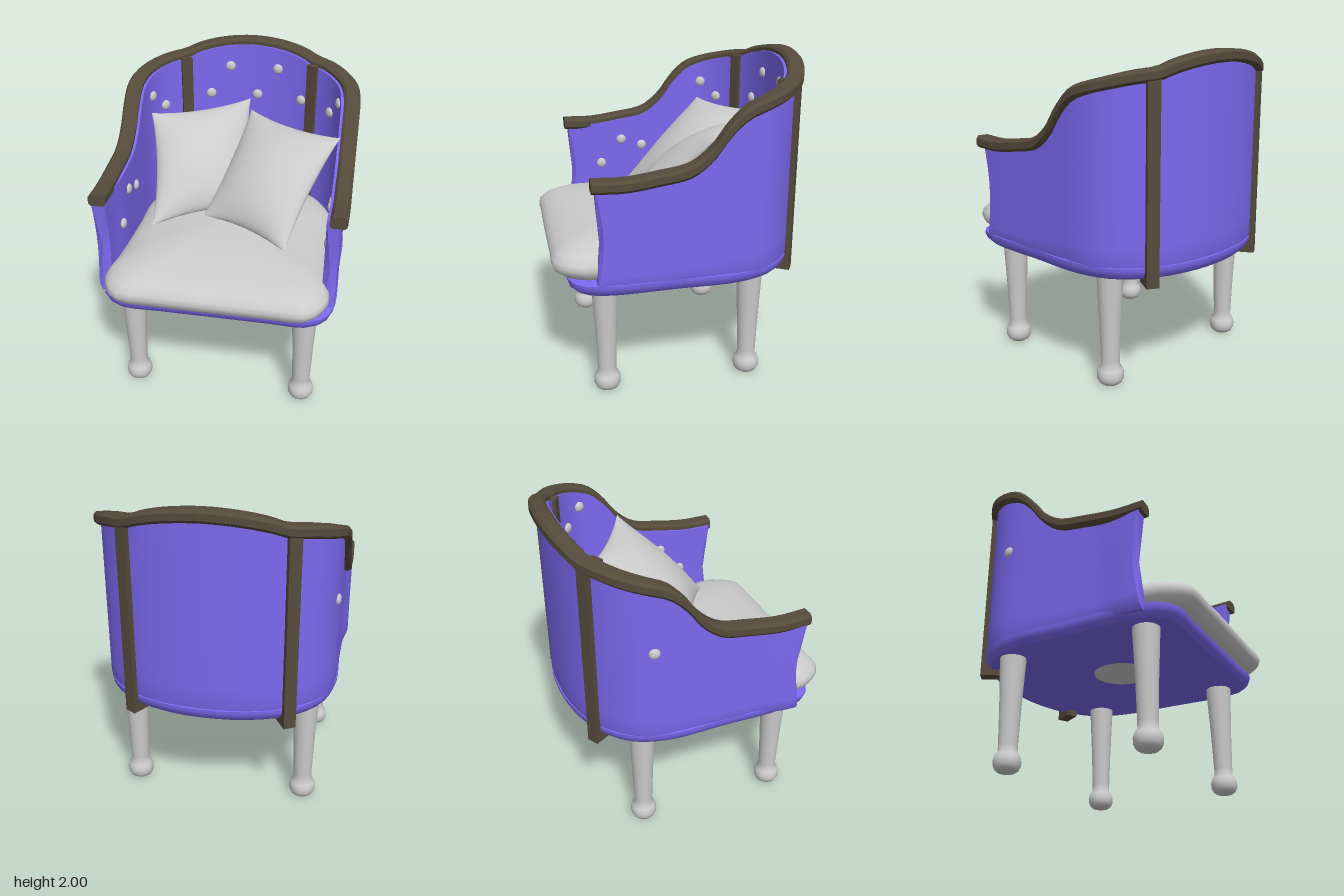
import * as THREE from 'three';
import { toCreasedNormals } from 'three/addons/utils/BufferGeometryUtils.js';

const V = (x, y, z) => new THREE.Vector3(x, y, z);
const material = (color) => new THREE.MeshStandardMaterial({ color, side: THREE.DoubleSide });
const GREY = material(0xcccccc), PURPLE = material(0x7b68ee), BROWN = material(0x554b3b);

function add(parent, name, geometry, mat) {
  const mesh = new THREE.Mesh(geometry, mat);
  mesh.name = name;
  parent.add(mesh);
  return mesh;
}

// Skin over closed rings of points, with fan caps at both ends
function loft(rings, crease = 0.6) {
  const tris = [], n = rings[0].length;
  for (let i = 0; i < rings.length - 1; i++) {
    for (let j = 0; j < n; j++) {
      const k = (j + 1) % n, a = rings[i], b = rings[i + 1];
      tris.push([a[j], b[j], b[k]], [a[j], b[k], a[k]]);
    }
  }
  [rings[0], rings[rings.length - 1]].forEach((ring, end) => {
    const c = ring.reduce((s, p) => s.add(p), V(0, 0, 0)).divideScalar(n);
    for (let j = 0; j < n; j++) {
      const k = (j + 1) % n;
      tris.push(end ? [c, ring[k], ring[j]] : [c, ring[j], ring[k]]);
    }
  });
  // Turn the faces outward if the enclosed volume is negative
  const volume = tris.reduce((s, [a, b, c]) => s + a.dot(V(0, 0, 0).crossVectors(b, c)), 0);
  if (volume < 0) tris.forEach((t) => t.reverse());
  const geometry = new THREE.BufferGeometry().setFromPoints(tris.flat());
  return toCreasedNormals(geometry, crease);
}

// Half outline [x, z] from front centre to back centre, mirrored and smoothed to a closed loop
function outline(half, count = 72) {
  const pts = half.map(([x, z]) => V(x, 0, z));
  const other = half.slice(1, -1).reverse().map(([x, z]) => V(-x, 0, z));
  const curve = new THREE.CatmullRomCurve3([...pts, ...other], true, 'centripetal');
  return curve.getSpacedPoints(count).slice(0, count);
}
const scaledRing = (loop, y, s, cz) => loop.map((p) => V(p.x * s, y, cz + (p.z - cz) * s));

// Outer line of the shell: plan position with the height of the rail's top
const HALF = [
  [0.72, 1.435, 0.59], [0.725, 1.43, 0.4], [0.725, 1.455, 0.2], [0.725, 1.49, 0.02],
  [0.725, 1.58, -0.1], [0.725, 1.71, -0.2], [0.722, 1.8, -0.3], [0.7, 1.845, -0.42],
  [0.64, 1.875, -0.53], [0.55, 1.9, -0.62], [0.45, 1.915, -0.685], [0.36, 1.95, -0.725],
  [0.2, 1.985, -0.765], [0, 2, -0.78],
];
const shellCurve = new THREE.CatmullRomCurve3([
  ...HALF.map((p) => V(...p)),
  ...HALF.slice(0, -1).reverse().map(([x, y, z]) => V(-x, y, z)),
], false, 'centripetal');

// Stations along the shell, each with its inward direction
const stations = Array.from({ length: 81 }, (_, i) => {
  const p = shellCurve.getPointAt(i / 80), t = shellCurve.getTangentAt(i / 80);
  return { p, n: V(t.z, 0, -t.x).normalize() };
});
const at = (s, inward, y) => V(s.p.x, y, s.p.z).addScaledVector(s.n, inward);
const nearest = (x, z) => stations.reduce((best, s) =>
  Math.hypot(s.p.x - x, s.p.z - z) < Math.hypot(best.p.x - x, best.p.z - z) ? s : best);

function shellGeometry() {
  const levels = [0, 0.06, 0.15, 0.3, 0.45, 0.6, 0.75, 0.9, 1];
  return loft(stations.map((s) => {
    const front = THREE.MathUtils.smoothstep(s.p.z, 0.25, 0.59);
    const point = (f, inward) => {
      const q = at(s, inward, 0.74 + f * (s.p.y - 0.04 - 0.74));
      q.z -= front * (0.02 + 0.045 * Math.sin(Math.PI * f));    // hollowed front edge
      if (s.p.x < 0) q.x -= 0.035 * front;                      // slight flare on one arm
      return q;
    };
    return [
      ...levels.map((f) => point(f, f === 0 ? 0.02 : 0)),
      ...levels.slice().reverse().map((f) => point(f, 0.08)),
    ];
  }));
}

function railGeometry() {
  const section = [
    [-0.04, 0.058], [-0.04, 0.018], [-0.022, 0], [0.045, 0],
    [0.063, 0.018], [0.063, 0.058], [0.05, 0.075], [-0.025, 0.075],
  ];
  return loft(stations.map((s) => section.map(([d, drop]) => at(s, d, s.p.y - drop))), 0.5);
}

// Pillow stretched over top-left, top-right and the two bottom corners
function pillowGeometry(tl, tr, br, bl, thick) {
  const geometry = new THREE.BoxGeometry(2, 2, 2, 28, 28, 1);
  const pos = geometry.attributes.position;
  const normal = tr.clone().sub(bl).cross(tl.clone().sub(br)).normalize();
  for (let i = 0; i < pos.count; i++) {
    const u0 = Math.sin(pos.getX(i) * Math.PI / 2), v0 = Math.sin(pos.getY(i) * Math.PI / 2);
    const eu = Math.max(0, 1 - u0 * u0), ev = Math.max(0, 1 - v0 * v0);
    const u = (u0 * (1 - 0.09 * ev) + 1) / 2, v = (v0 * (1 - 0.09 * eu) + 1) / 2;
    const low = bl.clone().lerp(br, u), high = tl.clone().lerp(tr, u);
    const p = low.lerp(high, v);
    p.addScaledVector(normal, pos.getZ(i) * thick * Math.pow(eu * ev, 0.6));
    pos.setXYZ(i, p.x, p.y, p.z);
  }
  geometry.deleteAttribute('normal');
  geometry.deleteAttribute('uv');
  return toCreasedNormals(geometry, 0.9);
}

export function createModel() {
  const chair = new THREE.Group();
  chair.name = 'armchair';

  // Upholstered shell and its wooden rail
  add(chair, 'shell', shellGeometry(), PURPLE);
  add(chair, 'topRail', railGeometry(), BROWN);

  // Wooden posts set through the back corners
  for (const side of [-1, 1]) {
    const s = nearest(side * 0.48, -0.665);
    const post = add(chair, 'backPost', new THREE.BoxGeometry(0.075, 1.21, 0.135), BROWN);
    post.position.copy(at(s, 0.035, 1.275));
    post.rotation.y = Math.atan2(s.n.x, s.n.z);
  }

  // Seat base with a bevelled underside
  const baseLoop = outline([
    [0, 0.72], [0.35, 0.72], [0.6, 0.715], [0.69, 0.64], [0.725, 0.5], [0.725, 0.1], [0.722, -0.3],
    [0.64, -0.53], [0.45, -0.685], [0.2, -0.765], [0, -0.78],
  ]);
  add(chair, 'seatBase', loft([[0.71, 0.955], [0.735, 0.985], [0.765, 1], [0.785, 1], [0.79, 0.985]]
    .map(([y, s]) => scaledRing(baseLoop, y, s, 0))), PURPLE);

  // Domed seat cushion
  const seatLoop = outline([
    [0, 0.81], [0.35, 0.808], [0.58, 0.8], [0.64, 0.74], [0.69, 0.63], [0.67, 0.45], [0.65, 0],
    [0.64, -0.3], [0.5, -0.55], [0.25, -0.66], [0, -0.69],
  ]);
  add(chair, 'seatCushion', loft([
    [0.78, 0.6], [0.783, 0.88], [0.8, 0.94], [0.835, 0.985], [0.87, 1], [0.9, 0.99], [0.935, 0.95],
    [0.965, 0.88], [0.99, 0.78], [1.015, 0.62], [1.038, 0.42], [1.052, 0.2], [1.055, 0.05],
  ].map(([y, s]) => scaledRing(seatLoop, y, s, 0.06)), 1.2), GREY);

  // Sagging round patch under the seat
  const patch = add(chair, 'undersidePatch', new THREE.SphereGeometry(0.2, 32, 12), GREY);
  patch.scale.set(1, 0.15, 1);
  patch.position.set(-0.02, 0.722, 0.07);

  // Tapered legs with ball feet
  const legProfile = [
    [0, 0], [0.05, 0], [0.07, 0.015], [0.082, 0.04], [0.083, 0.07], [0.075, 0.098], [0.058, 0.12],
    [0.058, 0.16], [0.066, 0.4], [0.08, 0.68], [0.082, 0.73],
  ].map(([r, y]) => new THREE.Vector2(r, y));
  for (const x of [-0.555, 0.545]) {
    for (const z of [0.505, -0.405]) {
      const leg = add(chair, z > 0 ? 'frontLeg' : 'backLeg', new THREE.LatheGeometry(legProfile, 20), GREY);
      leg.position.set(x, 0, z);
    }
  }

  // Two throw pillows leaning on the back
  add(chair, 'rearPillow', pillowGeometry(
    V(-0.63, 1.555, -0.37), V(0, 1.585, -0.68), V(0.13, 1.05, -0.12), V(-0.5, 1.01, 0.19), 0.14), GREY);
  add(chair, 'frontPillow', pillowGeometry(
    V(0.03, 1.56, -0.54), V(0.66, 1.59, -0.12), V(0.39, 1.045, 0.4), V(-0.19, 1.04, 0.06), 0.14), GREY);

  // Tufting buttons: [x, y, z] near the shell, then depth into it
  const buttons = [
    [-0.13, 1.81, -0.78], [0.2, 1.81, -0.77],
    [-0.28, 1.615, -0.75], [0.03, 1.615, -0.78], [0.37, 1.615, -0.72],
    [-0.69, 1.67, -0.43], [-0.62, 1.57, -0.55], [0.69, 1.71, -0.44], [0.62, 1.6, -0.55],
    [-0.73, 1.38, -0.37, 0],
  ];
  for (const x of [-0.725, 0.725]) buttons.push([x, 1.27, 0.2], [x, 1.22, 0.03], [x, 1.1, 0.35]);
  for (const [x, y, z, depth = 0.083] of buttons) {
    const s = nearest(x, z);
    const button = add(chair, 'button', new THREE.SphereGeometry(0.034, 14, 10), GREY);
    button.scale.z = 0.55;
    button.position.copy(at(s, depth, y));
    button.rotation.y = Math.atan2(s.n.x, s.n.z);
  }
  return chair;
}
